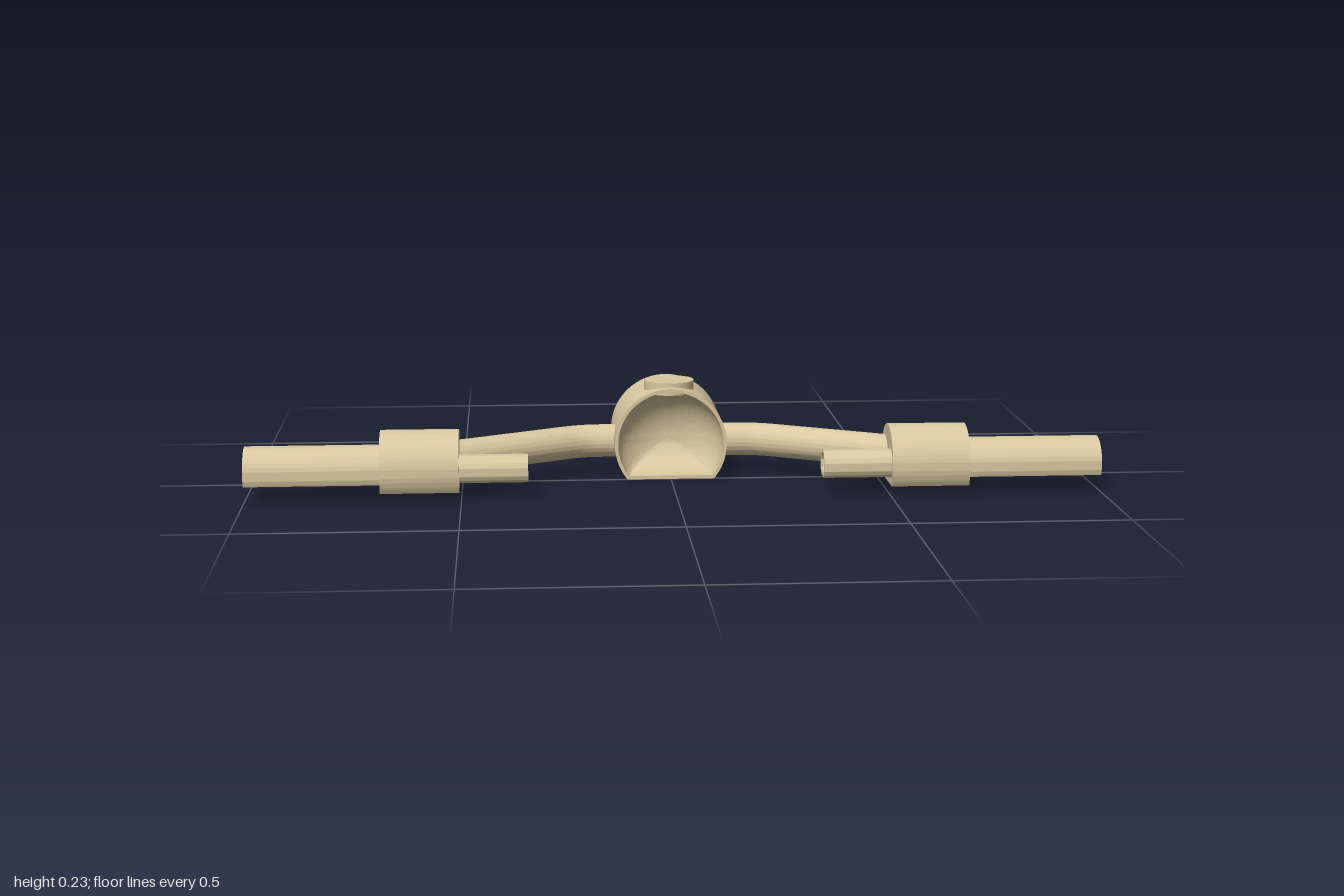
import * as THREE from 'three';
import { toCreasedNormals } from 'three/addons/utils/BufferGeometryUtils.js';

const material = new THREE.MeshStandardMaterial({ color: 0xd9c8a0 });
const dishMaterial = new THREE.MeshStandardMaterial({ color: 0xd9c8a0, side: THREE.DoubleSide });

// Circle with its underside cut flat at "cut" below the centre
function flatRound(r, cut, turn = 0, cx = 0, cy = 0, Type = THREE.Shape) {
  const a = -Math.asin(cut / r);
  const s = new Type();
  s.absarc(cx, cy, r, a + turn, Math.PI - a + turn, false);
  s.closePath();
  return s;
}

function addMesh(parent, name, geometry, mat = material) {
  const mesh = new THREE.Mesh(geometry, mat);
  mesh.name = name;
  parent.add(mesh);
  return mesh;
}

function extrude(shape, options) {
  const g = new THREE.ExtrudeGeometry(shape, { bevelEnabled: false, curveSegments: 48, ...options });
  return toCreasedNormals(g, 0.6);
}

// Flat-bottomed bar along x with the bore running through it
const BORE = { z: 0.173, y: 0.068 };
function bar(parent, name, side, x0, x1, z, y, r, bottom) {
  const shape = flatRound(r, y - bottom);
  shape.holes.push(flatRound(0.028, 0.018, 0, z - BORE.z, BORE.y - y, THREE.Path));
  const g = extrude(shape, { depth: x1 - x0 });
  g.rotateY(Math.PI / 2);
  g.translate(side > 0 ? x0 : -x1, y, z);
  addMesh(parent, name, g);
}

// Bowl that sinks from a flat-bottomed rim into the hub
function dish(r, cut, depth) {
  const rim = flatRound(r, cut).getSpacedPoints(96);
  const rings = 16, n = rim.length, pos = [], index = [];
  for (let i = 0; i <= rings; i++) {
    const a = (i / rings) * Math.PI / 2;
    for (const p of rim) pos.push(p.x * Math.cos(a), p.y * Math.cos(a), -depth * Math.sin(a));
  }
  for (let i = 0; i < rings; i++) {
    for (let j = 0; j < n - 1; j++) {
      const a = i * n + j, b = a + n;
      index.push(a, a + 1, b, a + 1, b + 1, b);
    }
  }
  const g = new THREE.BufferGeometry();
  g.setAttribute('position', new THREE.Float32BufferAttribute(pos, 3));
  g.setIndex(index);
  return toCreasedNormals(g, 0.6);
}

export function createModel() {
  const model = new THREE.Group();
  model.name = 'handlebar';

  // Central hub: thin-rimmed body, bowls front and back, round cap on top
  const hub = new THREE.Group();
  hub.name = 'hub';
  model.add(hub);
  const hubY = 0.085, length = 0.215;
  const shell = flatRound(0.135, hubY);
  shell.holes.push(flatRound(0.127, 0.077, 0, 0, 0, THREE.Path));
  addMesh(hub, 'hubShell', extrude(shell, { depth: length })).position.set(0, hubY, -length);
  addMesh(hub, 'frontBowl', dish(0.127, 0.077, 0.1), dishMaterial).position.set(0, hubY, 0);
  const back = addMesh(hub, 'backBowl', dish(0.127, 0.077, 0.1), dishMaterial);
  back.rotation.y = Math.PI;
  back.position.set(0, hubY, -length);
  const cap = new THREE.CylinderGeometry(0.06, 0.06, 0.03, 48);
  addMesh(hub, 'topCap', cap).position.set(0, 0.215, -0.08);

  for (const side of [1, -1]) {
    const half = new THREE.Group();
    half.name = side > 0 ? 'leftSide' : 'rightSide';
    model.add(half);

    // Bent arm from the hub to the collar
    const v = (x, z) => new THREE.Vector3(side * x, 0.08, z);
    const path = new THREE.CurvePath();
    path.add(new THREE.LineCurve3(v(0.125, -0.083), v(0.18, -0.081)));
    path.add(new THREE.QuadraticBezierCurve3(v(0.18, -0.081), v(0.215, -0.079), v(0.25, -0.06)));
    path.add(new THREE.LineCurve3(v(0.25, -0.06), v(0.53, 0.1)));
    // the section is turned so that its flat faces down along the path
    const section = flatRound(0.04, 0.037, Math.PI / 2);
    addMesh(half, 'arm', extrude(section, { extrudePath: path, steps: 40, curveSegments: 32 }));

    // Collar, outer grip and inner stub share one bore
    bar(half, 'collar', side, 0.505, 0.688, 0.127, 0.065, 0.088, 0.018);
    bar(half, 'outerGrip', side, 0.688, 1.0, 0.154, 0.064, 0.06, 0.04);
    bar(half, 'innerStub', side, 0.345, 0.505, 0.172, 0.066, 0.036, 0.04);
  }
  return model;
}
